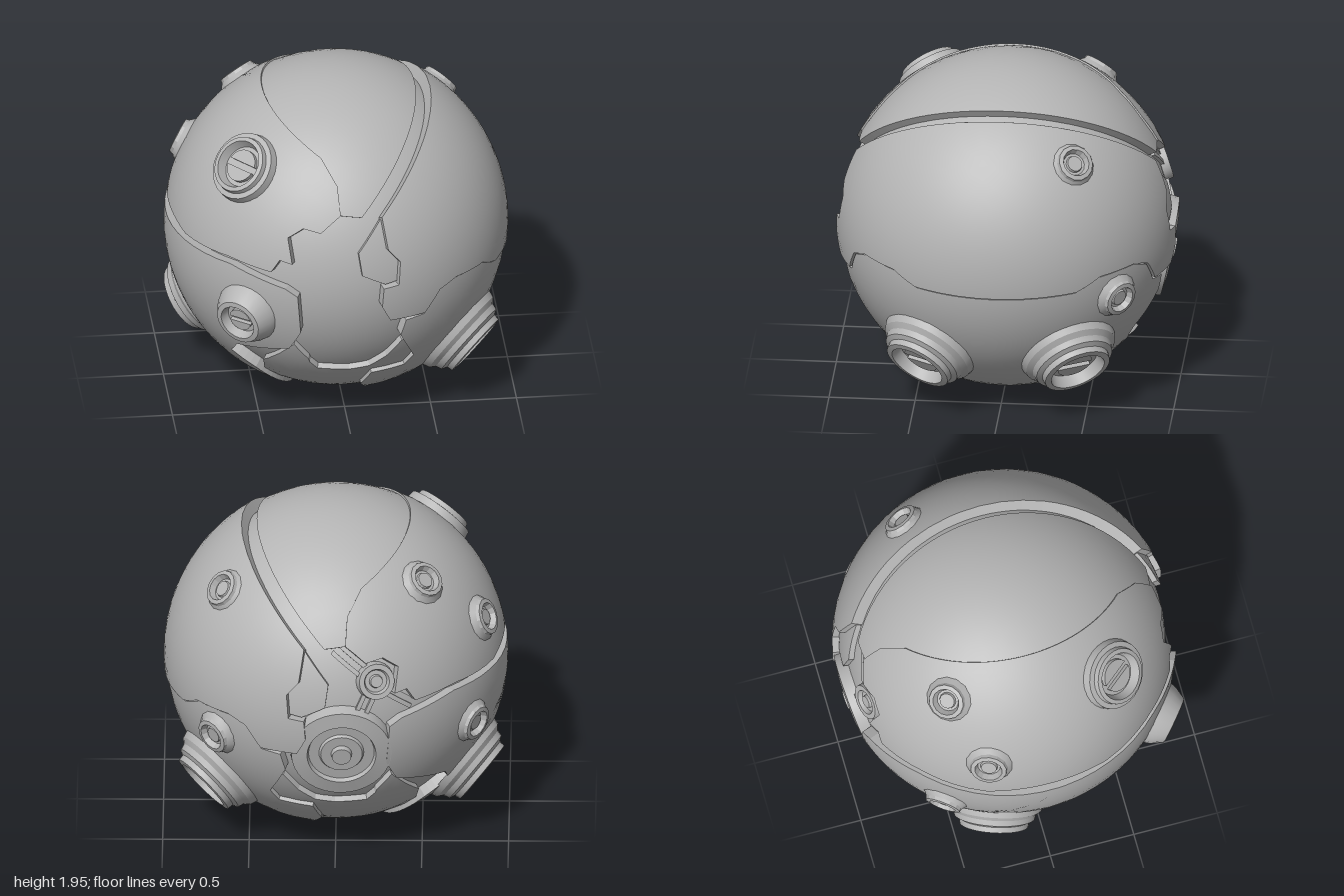
import * as THREE from 'three';
import { toCreasedNormals } from 'three/addons/utils/BufferGeometryUtils.js';

const shell = new THREE.MeshStandardMaterial({ color: 0xb4b4b4, side: THREE.DoubleSide });
shell.name = 'plain grey shell';
const V = (x, y, z) => new THREE.Vector3(x, y, z);

// Points along an outline drawn flat on the front, lifted onto the unit sphere.
function lift(pts, closed) {
  const out = [], count = closed ? pts.length : pts.length - 1;
  for (let i = 0; i < count; i++) {
    const [ax, ay] = pts[i], [bx, by] = pts[(i + 1) % pts.length];
    const first = !closed && i === 0, last = !closed && i === count - 1;
    const n = first || last ? 16 : Math.ceil(Math.hypot(bx - ax, by - ay) / 0.05);
    for (let k = 0; k < n; k++) {
      const s = k / n, t = first ? s * s : last ? 1 - (1 - s) ** 2 : s;
      const x = ax + (bx - ax) * t, y = ay + (by - ay) * t;
      out.push(V(x, y, Math.sqrt(Math.max(0, 1 - x * x - y * y))).normalize());
    }
  }
  if (!closed) out.push(V(...pts.at(-1), 0).normalize());
  return out;
}

const flipZ = (dirs) => dirs.map((p) => V(p.x, p.y, -p.z));

// Outline that starts and ends on the rim, continued on the back by mirroring.
function wrapAround(pts) {
  const n = pts.length - 1;
  const unit = pts.map(([x, y], i) => {
    const l = Math.hypot(x, y);
    return i === 0 || i === n ? [x / l, y / l] : [x, y];
  });
  const front = lift(unit, false);
  front[0].z = 0;
  return front.concat(flipZ(front.slice(1, -1)).reverse());
}

// Curved plate: finely divided outer face plus an upright wall round its edge.
function plate(name, dirs, centre, top, base = 0.9) {
  const c = V(...centre).normalize();
  const e1 = V(0, 1, 0).cross(c);
  if (e1.length() < 0.1) e1.set(1, 0, 0);
  e1.addScaledVector(c, -e1.dot(c)).normalize();
  const e2 = c.clone().cross(e1);
  const flat = (p) => new THREE.Vector2(p.dot(e1), p.dot(e2)).divideScalar(1 + p.dot(c));
  const round = (q) => {
    const s = q.lengthSq();
    return c.clone().multiplyScalar(1 - s).addScaledVector(e1, 2 * q.x)
      .addScaledVector(e2, 2 * q.y).divideScalar(1 + s);
  };
  let edge = dirs.map(flat);
  if (THREE.ShapeUtils.area(edge) < 0) edge = edge.reverse();
  const pos = [], nor = [];
  const put = (p, r, n) => {
    pos.push(p.x * r, p.y * r, p.z * r);
    nor.push(n.x, n.y, n.z);
  };
  const split = (t, depth) => {
    const p = t.map(round);
    const len = [0, 1, 2].map((i) => p[i].distanceTo(p[(i + 1) % 3]));
    const i = len.indexOf(Math.max(...len));
    if (len[i] < 0.13 || depth > 14) return p.forEach((q) => put(q, top, q));
    const a = t[i], b = t[(i + 1) % 3], o = t[(i + 2) % 3];
    const m = a.clone().add(b).multiplyScalar(0.5);
    split([a, m, o], depth + 1);
    split([m, b, o], depth + 1);
  };
  for (const f of THREE.ShapeUtils.triangulateShape(edge, [])) {
    const t = f.map((i) => edge[i]);
    if (THREE.ShapeUtils.area(t) < 0) t.reverse();
    split(t, 0);
  }
  const rim = edge.map(round);
  rim.forEach((a, i) => {
    const b = rim[(i + 1) % rim.length];
    const n = b.clone().sub(a).cross(a).normalize();
    for (const [p, r] of [[a, base], [b, base], [b, top], [a, base], [b, top], [a, top]]) put(p, r, n);
  });
  const g = new THREE.BufferGeometry();
  g.setAttribute('position', new THREE.Float32BufferAttribute(pos, 3));
  g.setAttribute('normal', new THREE.Float32BufferAttribute(nor, 3));
  const mesh = new THREE.Mesh(g, shell);
  mesh.name = name;
  return mesh;
}

// Turned part facing outward along a direction; heights are from the ball's centre.
function turned(name, dir, profile, sides, slot) {
  const group = new THREE.Group();
  group.name = name;
  const pts = profile.map(([r, h]) => new THREE.Vector2(r, h));
  const body = new THREE.LatheGeometry(pts, sides).rotateX(Math.PI / 2);
  const ring = new THREE.Mesh(toCreasedNormals(body, 0.4), shell);
  ring.name = name + 'Ring';
  group.add(ring);
  if (slot) {
    // Screw head: two half discs with a gap between.
    for (const turn of [0, Math.PI]) {
      const half = new THREE.Shape().absarc(0, 0, slot.r, 0.2, Math.PI - 0.2, false);
      const g = new THREE.ExtrudeGeometry(half, { depth: 0.025, bevelEnabled: false, curveSegments: 14 });
      const cap = new THREE.Mesh(g, shell);
      cap.name = name + 'ScrewHalf';
      cap.position.z = slot.h;
      cap.rotation.z = turn;
      group.add(cap);
    }
  }
  group.lookAt(V(...dir));
  return group;
}

export function createModel() {
  const model = new THREE.Group();
  model.name = 'panelledBall';
  const ball = new THREE.Group();
  ball.name = 'ball';
  ball.position.y = 1;
  model.add(ball);

  const core = new THREE.Mesh(new THREE.SphereGeometry(0.93, 64, 40), shell);
  core.name = 'core';
  ball.add(core);

  // Main shell panels, each running from the front round to the back
  const seam = [[-0.06, 0.485], [-0.07, 0.63], [-0.15, 0.75], [-0.43, 0.895]];
  const panels = [
    ['upperRightPanel', 0.99, [-0.8, 0.6, 0], [[-0.98, 0.18], [-0.92, 0.145], [-0.7, 0.16], [-0.47, 0.135],
      [-0.42, 0.215], [-0.35, 0.2], [-0.37, 0.35], [-0.28, 0.41], [-0.18, 0.39], [-0.12, 0.44], ...seam]],
    ['topBand', 0.98, [0.02, 1, 0], [...[...seam].reverse(), [0.065, 0.47], [0.47, 0.88]]],
    ['upperLeftPanel', 1.0, [0.9, 0.4, 0], [[0.55, 0.835], [0.18, 0.46], [0.21, 0.28], [0.28, 0.2], [0.27, 0.06],
      [0.18, 0.05], [0.17, -0.07], [0.22, -0.17], [0.43, -0.17], [0.52, -0.04], [0.62, 0], [0.8, -0.01],
      [0.88, -0.08], [0.995, -0.09]]],
    ['lowerLeftPanel', 0.988, [0.8, -0.6, 0], [[0.995, -0.1], [0.88, -0.09], [0.8, -0.02], [0.62, -0.01],
      [0.52, -0.05], [0.43, -0.185], [0.32, -0.2], [0.29, -0.31], [0.38, -0.52], [0.33, -0.6], [0.13, -0.62],
      [0.08, -0.76], [0.18, -0.98]]],
    ['lowerRightPanel', 0.993, [-0.85, -0.5, 0], [[-0.99, 0.105], [-0.69, 0.12], [-0.39, 0.045], [-0.32, 0],
      [-0.3, -0.25], [-0.36, -0.39], [-0.47, -0.42], [-0.64, -0.47], [-0.66, -0.57], [-0.52, -0.68],
      [-0.24, -0.97]]],
    ['bottomStrip', 0.965, [0, -1, 0], [[-0.45, -0.89], [-0.5, -0.6], [-0.34, -0.38], [-0.25, -0.5],
      [-0.24, -0.53], [-0.19, -0.59], [0, -0.6], [0.12, -0.58], [0.22, -0.5], [0.31, -0.38], [0.42, -0.4],
      [0.45, -0.89]]],
  ];
  for (const [name, r, centre, pts] of panels) ball.add(plate(name, wrapAround(pts), centre, r));

  // Small insert beside the upper left panel, front and back
  const insert = lift([[0.18, 0.45], [0.04, 0.27], [0.06, 0.13], [0.2, 0.06], [0.31, 0.08], [0.3, 0.3]], true);
  ball.add(plate('frontInsert', insert, [0.17, 0.2, 1], 0.962));
  ball.add(plate('backInsert', flipZ(insert), [0.17, 0.2, -1], 0.962));

  // Struts linking the rear hubs
  const small = [-0.25, 0.28];
  for (const [x, y] of [[-0.04, -0.18], [0, 0.48], [-0.48, 0.11]]) {
    const l = Math.hypot(x - small[0], y - small[1]);
    const nx = -(y - small[1]) / l, ny = (x - small[0]) / l;
    for (const o of [-0.03, 0.03]) {
      const at = (p, w) => [p[0] + nx * (o + w), p[1] + ny * (o + w)];
      const bar = lift([at(small, -0.013), at([x, y], -0.013), at([x, y], 0.013), at(small, 0.013)], true);
      ball.add(plate('rearStrut', flipZ(bar), [...small, -0.93], 0.95));
    }
  }

  // Rear hubs
  ball.add(turned('rearHub', [-0.04, -0.19, -0.98], [[0.3, 0.86], [0.29, 0.95], [0.2, 0.965], [0.19, 0.94],
    [0.13, 0.94], [0.12, 0.955], [0.06, 0.955], [0.055, 0.985], [0, 0.985]], 36));
  ball.add(turned('rearSmallHub', [-0.25, 0.28, -0.93], [[0.115, 0.9], [0.105, 0.975], [0.075, 0.975],
    [0.065, 0.95], [0.04, 0.95], [0.035, 0.97], [0, 0.97]], 20));

  // Large flared thrusters low on the sides
  const large = [[0.29, 0.94], [0.275, 0.985], [0.245, 1.01], [0.235, 1.045], [0.205, 1.06], [0.2, 1.095],
    [0.165, 1.1], [0.145, 1.03], [0, 1.03]];
  for (const d of [[0.74, -0.61, 0.45], [0.74, -0.61, -0.45], [-0.83, -0.62, -0.29]])
    ball.add(turned('largeThruster', d, large, 32, { r: 0.105, h: 1.03 }));

  // Flat slotted port high on the right, and the raised one on the front
  ball.add(turned('upperPort', [-0.59, 0.64, 0.5], [[0.21, 0.95], [0.2, 1.015], [0.17, 1.02], [0.165, 1.05],
    [0.14, 1.055], [0.12, 1.0], [0, 1.0]], 28, { r: 0.095, h: 1.0 }));
  ball.add(turned('frontPort', [-0.62, -0.19, 0.79], [[0.2, 0.94], [0.18, 1.01], [0.14, 1.08], [0.11, 1.085],
    [0.095, 1.03], [0, 1.03]], 24, { r: 0.07, h: 1.03 }));

  // Small round ports
  const port = [[0.14, 0.975], [0.11, 1.01], [0.105, 1.03], [0.08, 1.035], [0.065, 1.0], [0.05, 1.0],
    [0.045, 1.015], [0, 1.015]];
  for (const d of [[0.64, 0.62, -0.43], [-0.51, 0.71, -0.48], [-0.86, 0.4, -0.33], [-0.8, -0.15, -0.58],
    [0.69, -0.18, -0.69]]) ball.add(turned('smallPort', d, port, 14));

  return model;
}
